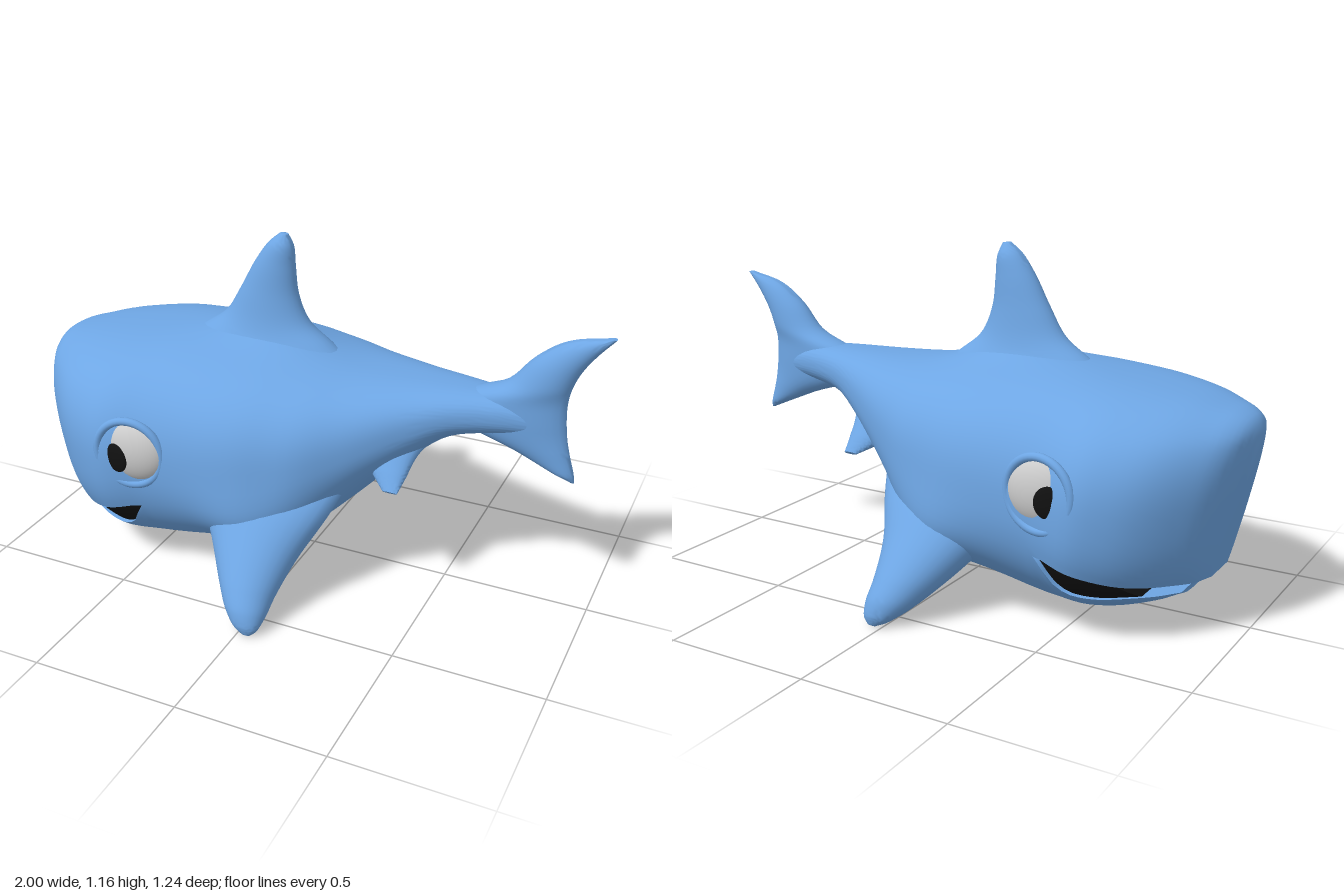
import * as THREE from 'three';
import { mergeGeometries, toCreasedNormals } from 'three/addons/utils/BufferGeometryUtils.js';

const V = (x, y, z = 0) => new THREE.Vector3(x, y, z);
const paint = (color) => new THREE.MeshStandardMaterial({ color });
const { clamp, lerp } = THREE.MathUtils;

// Smooth value curve through [position, value] pairs
function profile(pts) {
  const slope = (i) => {
    const a = pts[Math.max(i - 1, 0)], b = pts[Math.min(i + 1, pts.length - 1)];
    return (b[1] - a[1]) / (b[0] - a[0]);
  };
  return (x) => {
    let i = 0;
    while (i < pts.length - 2 && x > pts[i + 1][0]) i++;
    const [x0, y0] = pts[i], [x1, y1] = pts[i + 1], d = x1 - x0;
    const t = clamp((x - x0) / d, 0, 1), t2 = t * t, t3 = t2 * t;
    return y0 * (2 * t3 - 3 * t2 + 1) + y1 * (3 * t2 - 2 * t3)
      + d * (slope(i) * (t3 - 2 * t2 + t) + slope(i + 1) * (t3 - t2));
  };
}

// Closed skin over rings of points, with end caps, always facing outwards
function loft(rings) {
  const n = rings[0].length, pts = rings.flat(), idx = [];
  for (let i = 0; i < rings.length - 1; i++) {
    for (let j = 0; j < n; j++) {
      const a = i * n + j, b = i * n + (j + 1) % n;
      idx.push(a, b, a + n, b, b + n, a + n);
    }
  }
  [0, rings.length - 1].forEach((r) => {
    const mid = rings[r].reduce((m, p) => m.add(p), V(0, 0)).divideScalar(n);
    const c = pts.push(mid) - 1;
    for (let j = 0; j < n; j++) {
      const a = r * n + j, b = r * n + (j + 1) % n;
      if (r) idx.push(a, b, c); else idx.push(b, a, c);
    }
  });
  let volume = 0;
  const cross = V(0, 0);
  for (let i = 0; i < idx.length; i += 3) {
    volume += pts[idx[i]].dot(cross.crossVectors(pts[idx[i + 1]], pts[idx[i + 2]]));
  }
  if (volume < 0) idx.reverse();
  const g = new THREE.BufferGeometry().setFromPoints(pts);
  g.setIndex(idx);
  return g;
}

// Body profiles along its length, nose at -x
const top = profile([[-1, .64], [-.985, .68], [-.95, .705], [-.9, .72], [-.8, .745], [-.6, .775],
  [-.4, .795], [-.1, .785], [.2, .755], [.6, .748], [.7, .74], [.85, .69]]);
const bottom = profile([[-1, .12], [-.93, .115], [-.86, .09], [-.7, .055], [-.55, .042], [-.4, .04],
  [-.2, .08], [-.05, .12], [.1, .21], [.2, .3], [.3, .4], [.4, .49], [.5, .57], [.6, .6], [.85, .63]]);
const width = profile([[-1, .09], [-.97, .2], [-.9, .3], [-.8, .395], [-.7, .45], [-.6, .476],
  [-.45, .45], [-.2, .447], [-.1, .435], [0, .405], [.1, .37], [.2, .31], [.3, .25], [.4, .19],
  [.5, .14], [.6, .103], [.7, .076], [.85, .03]]);
const CORNER = -.47;
const behind = profile([[CORNER, .28], [.1, .42], [.3, .56], [.5, .65], [.85, .66]]);
const lipTop = profile([[-1, .18], [-.8, .205], [-.65, .24], [CORNER, .285]]);
const lipLow = profile([[-.93, .14], [-.8, .152], [-.66, .15], [-.55, .18], [CORNER, .285]]);
const upper = (s) => (s < CORNER ? lipTop(s) : behind(s));
const lower = (s) => (s < CORNER ? lipLow(s) : behind(s));

// Rounded body section between two heights; the snout leans forward
function section(s, lo, hi, zScale = 1) {
  const c = (top(s) + bottom(s)) / 2, h = (top(s) - bottom(s)) / 2, w = width(s) * zScale, N = 26;
  const lean = .234 * clamp((-.3 - s) / .7, 0, 1);
  const powerLow = lerp(2.8, 2.2, clamp((s + 1) / .6, 0, 1));
  const power = (v) => (v < 0 ? powerLow : 2.5);
  const angle = (y) => {
    const f = clamp((y - c) / h, -1, 1);
    return Math.asin(Math.sign(f) * Math.abs(f) ** (power(f) / 2));
  };
  const a = angle(lo), b = angle(hi), side = [];
  for (let i = 0; i <= N; i++) {
    const t = a + (b - a) * i / N, sin = Math.sin(t), e = 2 / power(sin);
    let y = c + h * Math.sign(sin) * Math.abs(sin) ** e;
    let z = w * Math.max(Math.cos(t), 0) ** e;
    const x = s + lean * Math.max(0, .65 - y);
    // Swellings that lead into the dorsal and pectoral fins
    const ridge = .05 * Math.max(sin, 0) * Math.exp(-(((s + .15) / .2) ** 2) - (z / .13) ** 2);
    const shoulder = .05 * z / w * Math.exp(-(((s + .02) / .18) ** 2) - ((y - .27) / .13) ** 2);
    y += ridge - shoulder * .5;
    z += shoulder;
    side.push(V(x, y, z));
  }
  return [...side, ...side.map((p) => V(p.x, p.y, -p.z)).reverse()];
}

function bodyGeometry() {
  const stations = [CORNER];
  for (let i = 0; i < 24; i++) stations.push(-1 + (CORNER + 1) * (i / 24) ** 1.6);
  for (let i = 1; i <= 44; i++) stations.push(CORNER + (.85 - CORNER) * i / 44);
  const s = stations.sort((a, b) => a - b);
  const jaw = [-.93, ...s.filter((v) => v > -.925)];
  return toCreasedNormals(mergeGeometries([
    loft(s.map((v) => section(v, upper(v), 9))),
    loft(jaw.map((v) => section(v, -9, lower(v)))),
  ]), .9);
}

// Dark mouth filling, set in from the lips and thinning towards the front
function mouthGeometry() {
  const rings = Array.from({ length: 20 }, (_, i) => {
    const s = lerp(-.83, CORNER, i / 19), low = lower(s) - .012;
    return section(s, low, lerp(low + .01, upper(s) + .012, Math.min(1, i / 5)), .95);
  });
  return toCreasedNormals(loft(rings), .9);
}

// Fin from [leading point, trailing point, half thickness] stations
function finGeometry(rows, normal) {
  const lead = new THREE.CatmullRomCurve3(rows.map((r) => r[0]));
  const trail = new THREE.CatmullRomCurve3(rows.map((r) => r[1]));
  const thick = profile(rows.map((r, i) => [i / (rows.length - 1), r[2]]));
  const rings = [];
  for (let i = 0; i <= 40; i++) {
    const t = i / 40, a = lead.getPoint(t), b = trail.getPoint(t);
    const mid = a.clone().add(b).multiplyScalar(.5), half = a.sub(b).multiplyScalar(.5);
    rings.push(Array.from({ length: 28 }, (_, j) => {
      const q = j / 28 * Math.PI * 2;
      return mid.clone().addScaledVector(half, Math.cos(q))
        .addScaledVector(normal, Math.max(thick(t), .001) * Math.sin(q));
    }));
  }
  return toCreasedNormals(loft(rings), 1);
}

export function createModel() {
  const group = new THREE.Group();
  const blue = paint(0x6ea6e4), black = paint(0x111111), white = paint(0xcccccc);
  const add = (name, geometry, material, parent = group) => {
    const m = new THREE.Mesh(geometry, material);
    m.name = name;
    parent.add(m);
    return m;
  };

  add('body', bodyGeometry(), blue);
  add('mouthInside', mouthGeometry(), black);

  // Upright fins: leading and trailing edges by height
  add('dorsalFin', finGeometry([
    [V(-.54, .72), V(.16, .72), .15], [V(-.42, .8), V(.06, .795), .105], [V(-.33, .865), V(-.02, .86), .08],
    [V(-.27, .96), V(-.06, .95), .063], [V(-.215, 1.06), V(-.072, 1.05), .051],
    [V(-.165, 1.13), V(-.078, 1.12), .038], [V(-.125, 1.165), V(-.095, 1.163), .012],
  ], V(0, 0, 1)), blue);
  add('tailFin', finGeometry([
    [V(.9, .475), V(.915, .472), .008], [V(.83, .505), V(.91, .5), .03], [V(.71, .555), V(.89, .57), .045],
    [V(.5, .64), V(.875, .65), .062], [V(.5, .71), V(.87, .74), .064], [V(.67, .79), V(.88, .8), .06],
    [V(.755, .885), V(.905, .86), .05], [V(.85, .953), V(.945, .92), .034], [V(.985, .988), V(1, .985), .01],
  ], V(0, 0, 1)), blue);

  // Paired parts on both sides
  for (const side of [1, -1]) {
    const label = side > 0 ? 'left' : 'right';
    const row = (x0, x1, y, z, t) => [V(x0, y, z * side), V(x1, y, z * side), t];
    add(label + 'PectoralFin', finGeometry([
      row(-.38, .24, .45, .19, .08), row(-.29, .18, .32, .3, .105), row(-.19, .115, .2, .4, .108),
      row(-.11, .085, .11, .5, .085), row(-.06, .078, .06, .56, .06),
      row(-.015, .065, .025, .595, .03), row(.02, .045, .008, .606, .008),
    ], V(0, .55, .83 * side)), blue);
    add(label + 'PelvicFin', finGeometry([
      row(.08, .5, .6, .05, .06), row(.2, .43, .53, .12, .052),
      row(.29, .41, .465, .19, .03), row(.35, .4, .428, .236, .008),
    ], V(0, .7, .7 * side)), blue);

    // Eye; the right one sits slightly deeper
    const eye = new THREE.Group();
    eye.name = label + 'Eye';
    eye.position.set(-.46, .485, side > 0 ? .418 : -.408);
    group.add(eye);
    const ball = new THREE.SphereGeometry(1, 36, 24);
    add('eyeball', ball, white, eye).scale.set(.116, .11, .06);
    const pupil = add('pupil', ball, black, eye);
    pupil.scale.set(.046, .052, .012);
    pupil.position.set(-.052, -.017, .05 * side);
    pupil.rotation.y = -.22 * side;
    const rim = add('eyeRim', new THREE.TorusGeometry(.117, .014, 12, 48), blue, eye);
    rim.position.set(-.013, 0, (side > 0 ? .03 : .04) * side);
    rim.rotation.y = .12 * side;
  }
  return group;
}
